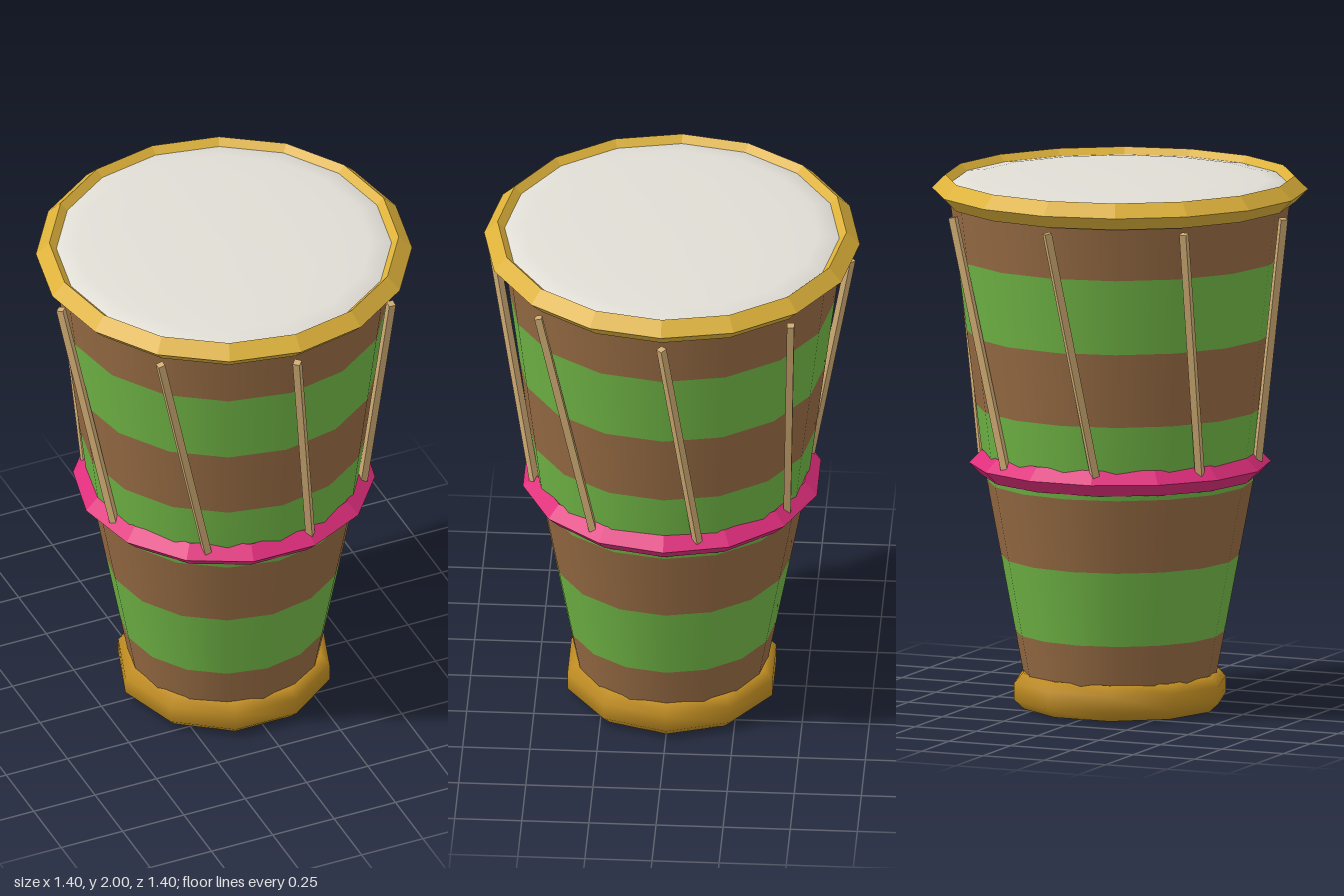
import * as THREE from 'three';

const mat = (name, color, flatShading = false) => {
  const m = new THREE.MeshStandardMaterial({ color, flatShading });
  m.name = name;
  return m;
};

export function createModel() {
  const drum = new THREE.Group();
  drum.name = 'drum';
  const brown = mat('brownWood', 0x966b43);
  const green = mat('greenPaint', 0x70b545);
  const gold = mat('goldRim', 0xddb13a, true);
  const ochre = mat('ochreBase', 0xbf8c22);
  const pink = mat('pinkBand', 0xe02e7c, true);
  const tan = mat('tanCord', 0xd0ac74, true);
  const skin = mat('paleSkin', 0xe0ddd5);

  const add = (name, geometry, material) => {
    const mesh = new THREE.Mesh(geometry, material);
    mesh.name = name;
    drum.add(mesh);
    return mesh;
  };
  // Profile of [radius, height] pairs, with a corner on the +x axis
  const lathe = (points, sides) => new THREE.LatheGeometry(
    points.map(([r, y]) => new THREE.Vector2(r, y)), sides, Math.PI / 2);

  // Tapered shell in seven alternating stripes, with a bend at the waist
  const waist = 0.92;
  const radiusAt = (y) => y < waist
    ? 0.336 + (0.509 - 0.336) * y / waist
    : 0.509 + (0.632 - 0.509) * (y - waist) / (1.9 - waist);
  const edges = [0.02, 0.285, 0.57, 0.852, 1.135, 1.415, 1.7, 1.95];
  for (let i = 0; i < 7; i++) {
    const heights = [edges[i], edges[i + 1]];
    if (heights[0] < waist && heights[1] > waist) heights.splice(1, 0, waist);
    add('shellStripe' + (i + 1), lathe(heights.map((y) => [radiusAt(y), y]), 16), i % 2 ? green : brown);
  }

  // Rounded foot and the shell's underside
  add('foot', lathe([[0.335, 0], [0.365, 0], [0.402, 0.035], [0.402, 0.1], [0.37, 0.135], [0.3, 0.13]], 10), ochre);
  add('underside', new THREE.CircleGeometry(0.335, 10).rotateX(Math.PI / 2), brown);

  // Faceted hoops around the top and the waist
  const hoop = (name, radius, tube, sides, y, material) =>
    add(name, new THREE.TorusGeometry(radius, tube, 4, sides).rotateX(Math.PI / 2), material).position.y = y;
  hoop('rim', 0.65, 0.05, 16, 1.95, gold);
  hoop('waistBand', 0.514, 0.048, 14, 0.92, pink);

  // Slightly domed drum skin
  add('skin', lathe([[0.645, 1.95], [0.622, 1.975], [0.55, 1.985], [0.4, 1.993], [0.2, 1.998], [0, 2]], 16), skin);

  // Eight slanting cords from the rim to the waist band
  const up = new THREE.Vector3(0, 1, 0);
  for (let i = 0; i < 8; i++) {
    const a = i * Math.PI / 4, b = a + 0.243;
    const top = new THREE.Vector3(Math.sin(a) * 0.665, 1.88, Math.cos(a) * 0.665);
    const low = new THREE.Vector3(Math.sin(b) * 0.52, 0.94, Math.cos(b) * 0.52);
    const along = top.clone().sub(low);
    const cord = add('cord' + (i + 1),
      new THREE.CylinderGeometry(0.019, 0.019, along.length(), 4).rotateY(a), tan);
    cord.position.copy(low).add(top).multiplyScalar(0.5);
    cord.quaternion.setFromUnitVectors(up, along.normalize());
  }
  return drum;
}
